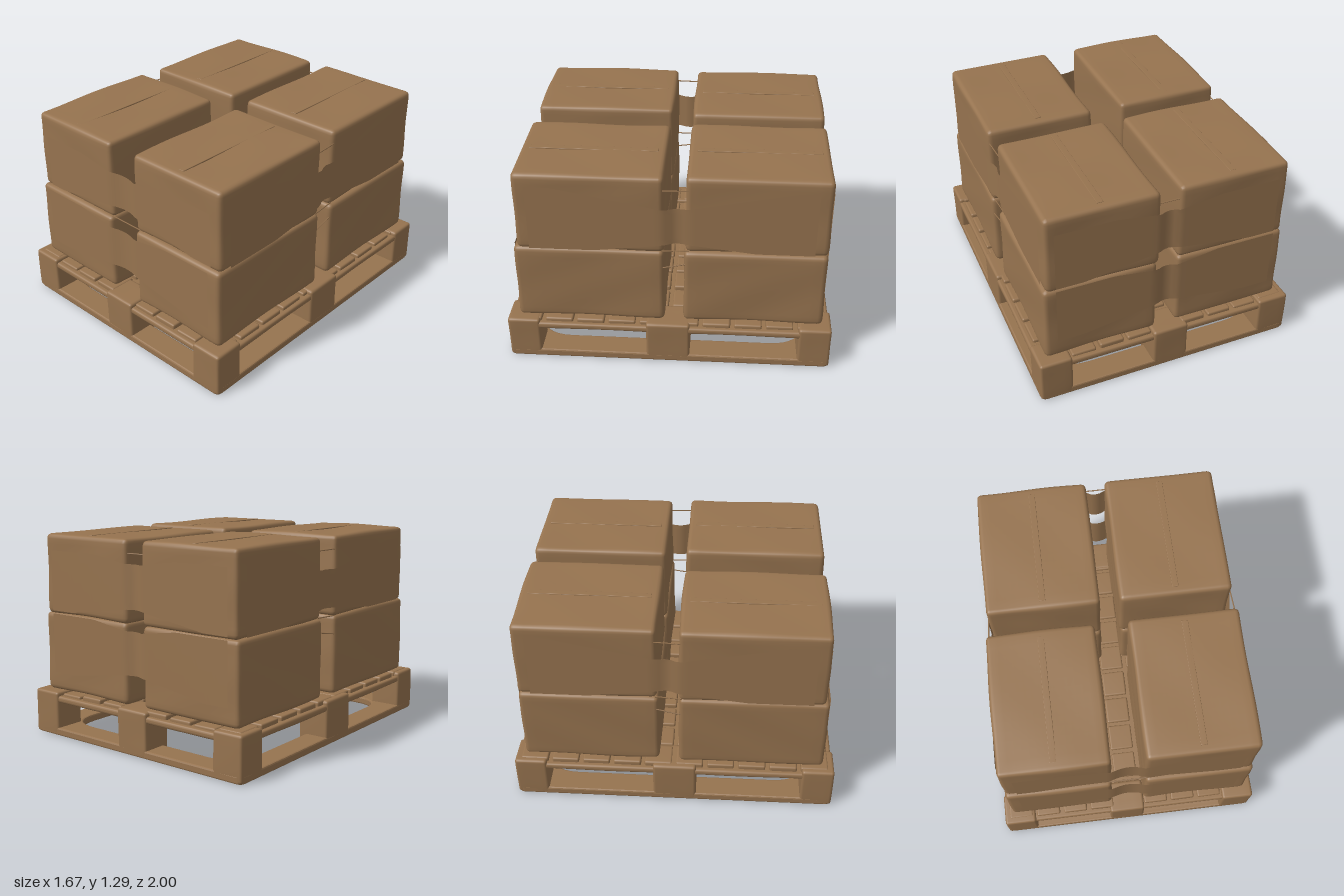
import * as THREE from 'three';
import { mergeVertices } from 'three/addons/utils/BufferGeometryUtils.js';

const cardboard = new THREE.MeshStandardMaterial({ color: 0x96734f, side: THREE.DoubleSide });
cardboard.name = 'cardboard brown';

// Box between two corners with rounded edges and slightly uneven faces
function softBox(name, x0, x1, y0, y1, z0, z1, r, wobble = 0, n = 12) {
  const half = [(x1 - x0) / 2, (y1 - y0) / 2, (z1 - z0) / 2];
  const mid = [(x0 + x1) / 2, (y0 + y1) / 2, (z0 + z1) / 2];
  let geo = new THREE.BoxGeometry(2, 2, 2, n, n, n);
  geo.deleteAttribute('uv');
  geo.deleteAttribute('normal');
  geo = mergeVertices(geo);
  const pos = geo.attributes.position;
  const flat = 1 - 4 / n;
  const p = new THREE.Vector3(), core = new THREE.Vector3();
  for (let i = 0; i < pos.count; i++) {
    p.fromBufferAttribute(pos, i);
    ['x', 'y', 'z'].forEach((a, k) => {
      const t = Math.abs(p[a]), inner = half[k] - r;
      const v = t <= flat ? t / flat * inner : inner + (t - flat) / (1 - flat) * r;
      p[a] = Math.sign(p[a]) * v;
      core[a] = Math.sign(p[a]) * Math.min(v, inner);
    });
    p.sub(core).normalize();
    const wave = Math.sin(core.x * 9 + mid[2] * 7 + core.y * 5) * Math.cos(core.z * 8 + core.y * 11 + mid[0] * 5);
    p.multiplyScalar(r + wobble * wave).add(core);
    pos.setXYZ(i, p.x + mid[0], p.y + mid[1], p.z + mid[2]);
  }
  geo.computeVertexNormals();
  const mesh = new THREE.Mesh(geo, cardboard);
  mesh.name = name;
  return mesh;
}

// Wrapping band: sags across the gap and flares over the boxes beside it.
// path(t) gives [x, z] for t in 0..1, low/high give the edges at distance d from the gap.
function band(name, path, gap, inward, low, high) {
  const geo = new THREE.PlaneGeometry(1, 1, 48, 6);
  const pos = geo.attributes.position;
  for (let i = 0; i < pos.count; i++) {
    const t = pos.getX(i) + 0.5, v = pos.getY(i) + 0.5;
    const [x, z] = path(t);
    const along = inward[0] ? z : x;
    const centre = (gap[0] + gap[1]) / 2, w = (gap[1] - gap[0]) / 2;
    const s = (along - centre) / w;
    const sag = Math.abs(s) < 1 ? 0.02 * (1 - s * s) : 0;
    const d = Math.max(0, Math.abs(along - centre) - w);
    pos.setXYZ(i, x + inward[0] * sag, THREE.MathUtils.lerp(low(d), high(d), v), z + inward[1] * sag);
  }
  geo.computeVertexNormals();
  const mesh = new THREE.Mesh(geo, cardboard);
  mesh.name = name;
  return mesh;
}

// Thin loose strand of wrap
function strand(a, b) {
  const A = new THREE.Vector3(...a), B = new THREE.Vector3(...b);
  const mesh = new THREE.Mesh(new THREE.TubeGeometry(new THREE.LineCurve3(A, B), 1, 0.004, 5), cardboard);
  mesh.name = 'looseStrand';
  return mesh;
}

function createPallet() {
  const g = new THREE.Group();
  g.name = 'pallet';

  // Bottom frame with one large rounded opening
  const rect = (s, w, d, r) => {
    s.moveTo(-w + r, -d);
    s.lineTo(w - r, -d).quadraticCurveTo(w, -d, w, -d + r);
    s.lineTo(w, d - r).quadraticCurveTo(w, d, w - r, d);
    s.lineTo(-w + r, d).quadraticCurveTo(-w, d, -w, d - r);
    s.lineTo(-w, -d + r).quadraticCurveTo(-w, -d, -w + r, -d);
    return s;
  };
  const outline = rect(new THREE.Shape(), 0.825, 0.99, 0.03);
  outline.holes.push(rect(new THREE.Path(), 0.69, 0.85, 0.22));
  const frameGeo = new THREE.ExtrudeGeometry(outline, {
    depth: 0.03, bevelThickness: 0.01, bevelSize: 0.01, bevelSegments: 2, curveSegments: 8,
  });
  frameGeo.rotateX(-Math.PI / 2).translate(0, 0.01, 0);
  const frame = new THREE.Mesh(frameGeo, cardboard);
  frame.name = 'bottomFrame';
  g.add(frame);

  // Nine spacer blocks
  const xs = [[-0.835, -0.63], [-0.13, 0.1], [0.63, 0.835]];
  const zs = [[-1, -0.8], [-0.13, 0.14], [0.8, 1]];
  xs.forEach(([a, b], i) => zs.forEach(([c, d], j) => {
    const top = i === 1 && j === 1 ? 0.23 : 0.282;
    g.add(softBox('spacerBlock', a, b, 0.002, top, c, d, 0.018, 0.002, 8));
  }));

  // Deck slab and the worn board segments on it
  g.add(softBox('deck', -0.83, 0.83, 0.215, 0.257, -0.99, 0.99, 0.015, 0.002, 16));
  const nx = 9, nz = 10;
  for (let i = 0; i < nx; i++) {
    for (let j = 0; j < nz; j++) {
      const x = (i - (nx - 1) / 2) * 0.181, z = (j - (nz - 1) / 2) * 0.195;
      const top = 0.286 - 0.006 * ((i * 5 + j * 3) % 3);
      g.add(softBox('boardSegment', x - 0.078, x + 0.078, 0.235, top, z - 0.085, z + 0.085, 0.012, 0.002, 6));
    }
  }
  return g;
}

export function createModel() {
  const model = new THREE.Group();
  model.name = 'loadedPallet';
  model.add(createPallet());

  // Two layers of four boxes: x range, y range, z range
  const boxes = [
    [-0.78, -0.11, 0.285, 0.79, 0.03, 0.93], [0.1, 0.78, 0.285, 0.79, 0.03, 0.93],
    [-0.77, -0.06, 0.285, 0.785, -0.94, -0.09], [0.07, 0.775, 0.285, 0.785, -0.94, -0.09],
    [-0.775, -0.11, 0.782, 1.285, 0.03, 0.905], [0.09, 0.77, 0.782, 1.285, 0.03, 0.905],
    [-0.76, -0.06, 0.782, 1.283, -0.94, -0.1], [0.06, 0.755, 0.782, 1.283, -0.94, -0.1],
  ];
  boxes.forEach((b, i) => {
    const upper = i > 3;
    model.add(softBox(upper ? 'upperBox' : 'lowerBox', ...b, 0.03, 0.004, 18));
    if (upper) {
      // Taped seam along the lid
      const x = (b[0] + b[1]) / 2;
      model.add(softBox('lidSeam', x - 0.02, x + 0.02, 1.278, b[3] + 0.004, b[4] + 0.05, b[5] - 0.05, 0.003, 0, 6));
    }
  });

  // Front and back bands on both layers
  const across = (z) => (t) => [THREE.MathUtils.lerp(-0.7, 0.7, t), z];
  const flare = (base, slope, limit) => (d) => base + Math.sign(slope) * Math.min(limit, Math.abs(slope) * d);
  const wraps = [
    ['frontUpperBand', 0.911, [-0.11, 0.09], -1, 0.87, 1.1],
    ['frontLowerBand', 0.936, [-0.11, 0.1], -1, 0.46, 0.73],
    ['backUpperBand', -0.946, [-0.06, 0.06], 1, 0.87, 1.14],
    ['backLowerBand', -0.946, [-0.06, 0.07], 1, 0.47, 0.74],
  ];
  wraps.forEach(([name, z, gap, dir, low, high]) =>
    model.add(band(name, across(z), gap, [0, dir], flare(low, -0.15, 0.07), flare(high, 0.15, 0.04))));

  // Side bands on the upper layer
  [1, -1].forEach((s) => {
    const path = (t) => {
      const z = THREE.MathUtils.lerp(-0.86, 0.83, t);
      const k = THREE.MathUtils.smoothstep(z, -0.1, 0.03);
      return [s * THREE.MathUtils.lerp(0.764, 0.78, k), z];
    };
    model.add(band(s > 0 ? 'leftBand' : 'rightBand', path, [-0.1, 0.03], [-s, 0],
      flare(0.84, -0.12, 0.05), flare(1.08, 0.2, 0.13)));
    // Loose strands across the side gaps
    model.add(strand([s * 0.75, 1.2, -0.12], [s * 0.76, 1.2, 0.05]));
    model.add(strand([s * 0.75, 0.79, -0.12], [s * 0.76, 0.785, 0.05]));
    model.add(strand([s * 0.76, 0.7, -0.12], [s * 0.77, 0.67, 0.05]));
  });
  // Loose strands across the front and back gaps
  model.add(strand([-0.09, 1.2, -0.92], [0.09, 1.2, -0.92]));
  model.add(strand([-0.13, 0.79, 0.9], [0.12, 0.79, 0.9]));
  return model;
}
